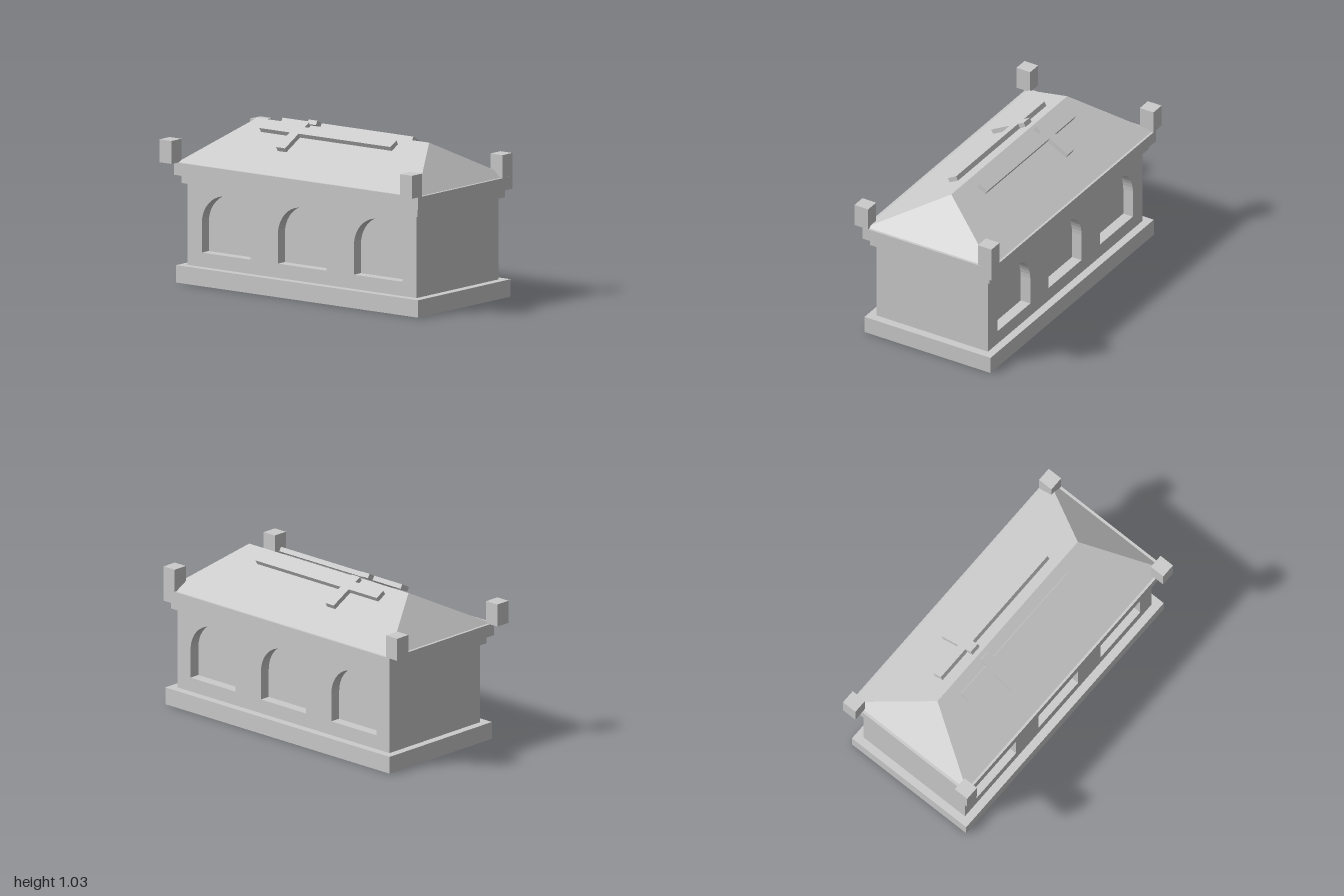
import * as THREE from 'three';
import { ConvexGeometry } from 'three/addons/geometries/ConvexGeometry.js';

const CX = 0.03, CZ = 0.033; // centre of the chest
const material = new THREE.MeshStandardMaterial({ color: 0xcccccc, flatShading: true });
const openMaterial = new THREE.MeshStandardMaterial({ color: 0xcccccc, flatShading: true, side: THREE.DoubleSide });

function add(parent, name, geometry, x, y, z, mat = material) {
  const mesh = new THREE.Mesh(geometry, mat);
  mesh.name = name;
  mesh.position.set(x, y, z);
  parent.add(mesh);
  return mesh;
}

// Box without its bottom face
function openBox(w, h, d) {
  const g = new THREE.BoxGeometry(w, h, d);
  const index = Array.from(g.index.array);
  index.splice(18, 6);
  g.setIndex(index);
  g.clearGroups();
  return g;
}

// Long wall with three round-headed openings
function wallGeometry(length, y0, y1, depth) {
  const h = length / 2, r = 0.193, sill = 0.2, spring = 0.382;
  const shape = new THREE.Shape();
  shape.moveTo(-h, y0).lineTo(h, y0).lineTo(h, y1).lineTo(-h, y1).closePath();
  for (const c of [-0.603, 0, 0.603]) {
    const hole = new THREE.Path();
    hole.moveTo(c - r, sill).lineTo(c + r, sill).lineTo(c + r, spring);
    hole.absarc(c, spring, r, 0, Math.PI, false);
    hole.lineTo(c - r, sill);
    shape.holes.push(hole);
  }
  return new THREE.ExtrudeGeometry(shape, { depth, bevelEnabled: false, curveSegments: 10 });
}

// Cross outline: x runs down the slope, y runs along the length
function crossGeometry() {
  const bar = 0.135, s0 = -0.0875, s1 = -0.0185; // bar half width, shaft edges
  const top = 0.515, bottom = -0.523, b0 = 0.205, b1 = 0.275;
  const shape = new THREE.Shape([
    [s0, bottom], [s1, bottom], [s1, b0], [bar, b0], [bar, b1], [s1, b1],
    [s1, top], [s0, top], [s0, b1], [-bar, b1], [-bar, b0], [s0, b0],
  ].map(([x, y]) => new THREE.Vector2(x, y)));
  const g = new THREE.ExtrudeGeometry(shape, { depth: 0.03, bevelEnabled: false });
  g.translate(0, 0, -0.015);
  g.rotateX(-Math.PI / 2); // lay flat, head towards -z
  return g;
}

export function createModel() {
  const model = new THREE.Group();
  model.name = 'sarcophagus';

  // Hollow plinth
  add(model, 'plinth', openBox(0.92, 0.11, 1.92), CX, 0.055, 0.035, openMaterial);

  // Chest: solid core with an arcaded wall on each long side
  const chest = new THREE.Group();
  chest.name = 'chest';
  model.add(chest);
  const width = 0.815, length = 1.815, depth = 0.07;
  add(chest, 'core', new THREE.BoxGeometry(width - 2 * depth, 0.52, length), CX, 0.37, CZ);
  const wall = wallGeometry(length, 0.11, 0.63, depth);
  add(chest, 'leftArcade', wall, CX + width / 2 - depth, 0, CZ).rotation.y = Math.PI / 2;
  add(chest, 'rightArcade', wall, CX - width / 2, 0, CZ).rotation.y = Math.PI / 2;

  // Stepped cornice
  add(model, 'lowerCornice', new THREE.BoxGeometry(0.87, 0.053, 1.87), CX, 0.6535, CZ);
  add(model, 'upperCornice', new THREE.BoxGeometry(0.94, 0.08, 1.935), CX, 0.72, CZ);

  // Hipped lid
  const points = [];
  for (const sz of [-1, 1]) {
    points.push(new THREE.Vector3(0, 0.245, sz * 0.682));
    for (const sx of [-1, 1]) points.push(new THREE.Vector3(sx * 0.455, 0, sz * 0.95));
  }
  add(model, 'hippedLid', new ConvexGeometry(points), CX, 0.76, CZ);

  // Crosses lying just above the two slopes
  const cross = crossGeometry();
  for (const side of [1, -1]) {
    const holder = new THREE.Group();
    holder.name = side > 0 ? 'leftCross' : 'rightCross';
    holder.position.set(CX + side * 0.154, 0.954, 0);
    holder.rotation.z = -side * 0.494;
    const g = cross.clone();
    if (side < 0) g.rotateZ(Math.PI); // shaft towards the ridge
    add(holder, 'crossSlab', g, 0, 0, 0);
    model.add(holder);
  }

  // Hollow corner posts
  const post = openBox(0.1, 0.145, 0.095);
  for (const sx of [-1, 1]) for (const sz of [-1, 1]) {
    add(model, 'cornerPost', post, sx * 0.45, 0.8325, sz * 0.9525, openMaterial);
  }
  return model;
}
